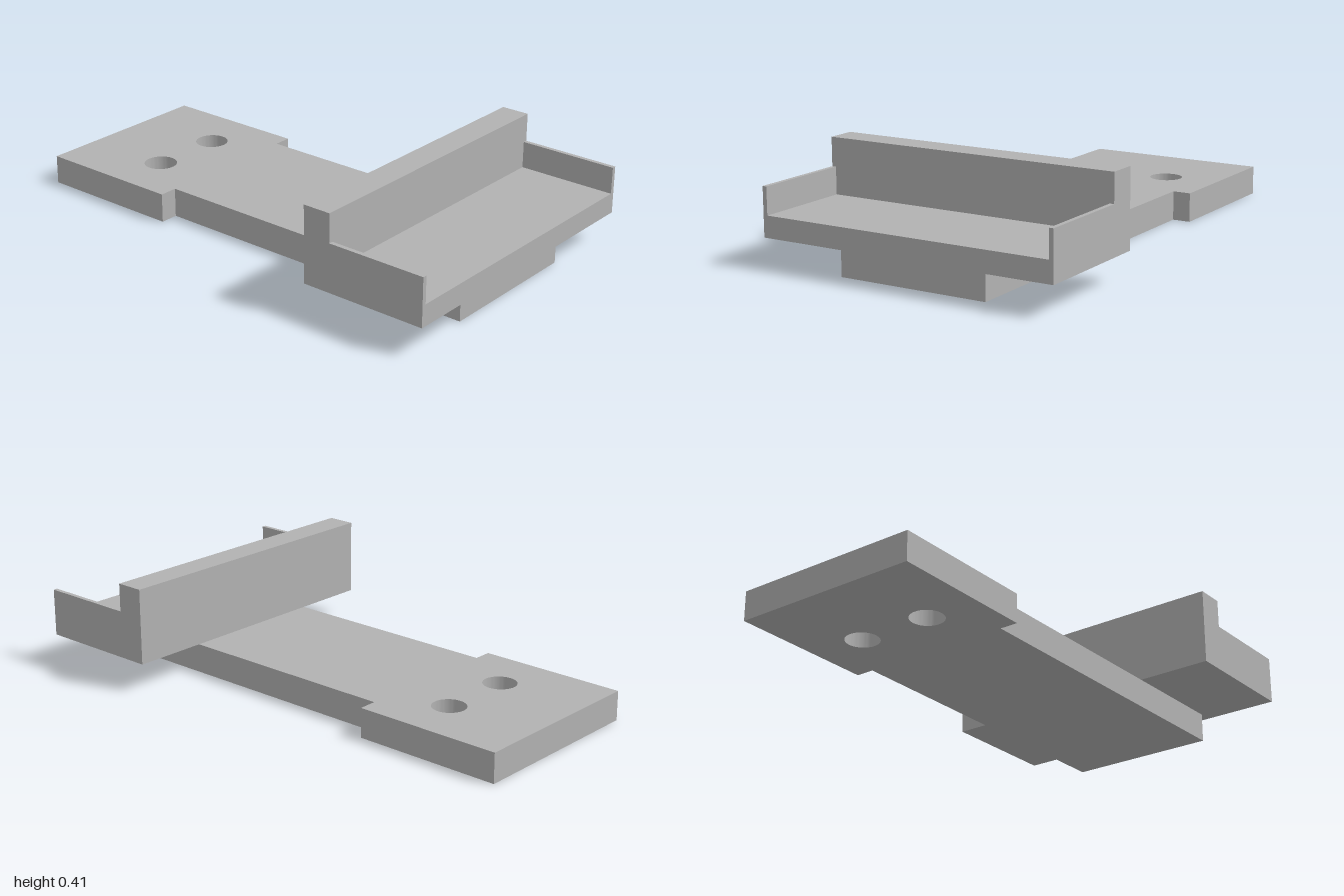
import * as THREE from 'three';
import { toCreasedNormals } from 'three/addons/utils/BufferGeometryUtils.js';

const PLATE_TOP = 0.115;

export function createModel() {
  const group = new THREE.Group();
  const grey = new THREE.MeshStandardMaterial({ color: 0xb2b2b2 });
  grey.name = 'plain grey';

  const add = (name, geometry) => {
    const mesh = new THREE.Mesh(geometry, grey);
    mesh.name = name;
    group.add(mesh);
  };
  const shapeOf = (points) => new THREE.Shape(points.map(([a, b]) => new THREE.Vector2(a, b)));

  // Flat mounting plate: narrow arm with a wider head at the back (shape y is -z)
  const plate = shapeOf([
    [-0.3, -0.945], [0.3, -0.945], [0.3, 0.407], [0.372, 0.407],
    [0.372, 1], [-0.372, 1], [-0.372, 0.407], [-0.3, 0.407],
  ]);
  // Two screw holes through the head
  for (const x of [-0.15, 0.15]) {
    plate.holes.push(new THREE.Path().absarc(x, 0.63, 0.065, 0, Math.PI * 2, true));
  }
  const plateGeometry = new THREE.ExtrudeGeometry(plate, {
    depth: PLATE_TOP, bevelEnabled: false, curveSegments: 32,
  });
  plateGeometry.rotateX(-Math.PI / 2);
  add('mountingPlate', toCreasedNormals(plateGeometry, 0.5));

  // Side profile (z, y) extruded across x from x0 to x1
  const acrossX = (points, x0, x1) => {
    const geometry = new THREE.ExtrudeGeometry(shapeOf(points), { depth: x1 - x0, bevelEnabled: false });
    return geometry.rotateY(-Math.PI / 2).translate(x1, 0, 0);
  };
  // L-shaped profile: back wall with a step at the given height
  const stepped = (height) => [
    [0.495, PLATE_TOP], [1, PLATE_TOP], [1, height],
    [0.607, height], [0.607, 0.413], [0.495, 0.413],
  ];

  // Tray floor with its back wall, closed by a thin raised cheek on each side
  add('trayFloorAndBackWall', acrossX(stepped(0.197), -0.58, 0.58));
  add('leftCheek', acrossX(stepped(0.302), 0.58, 0.597));
  add('rightCheek', acrossX(stepped(0.302), -0.597, -0.58));

  return group;
}
